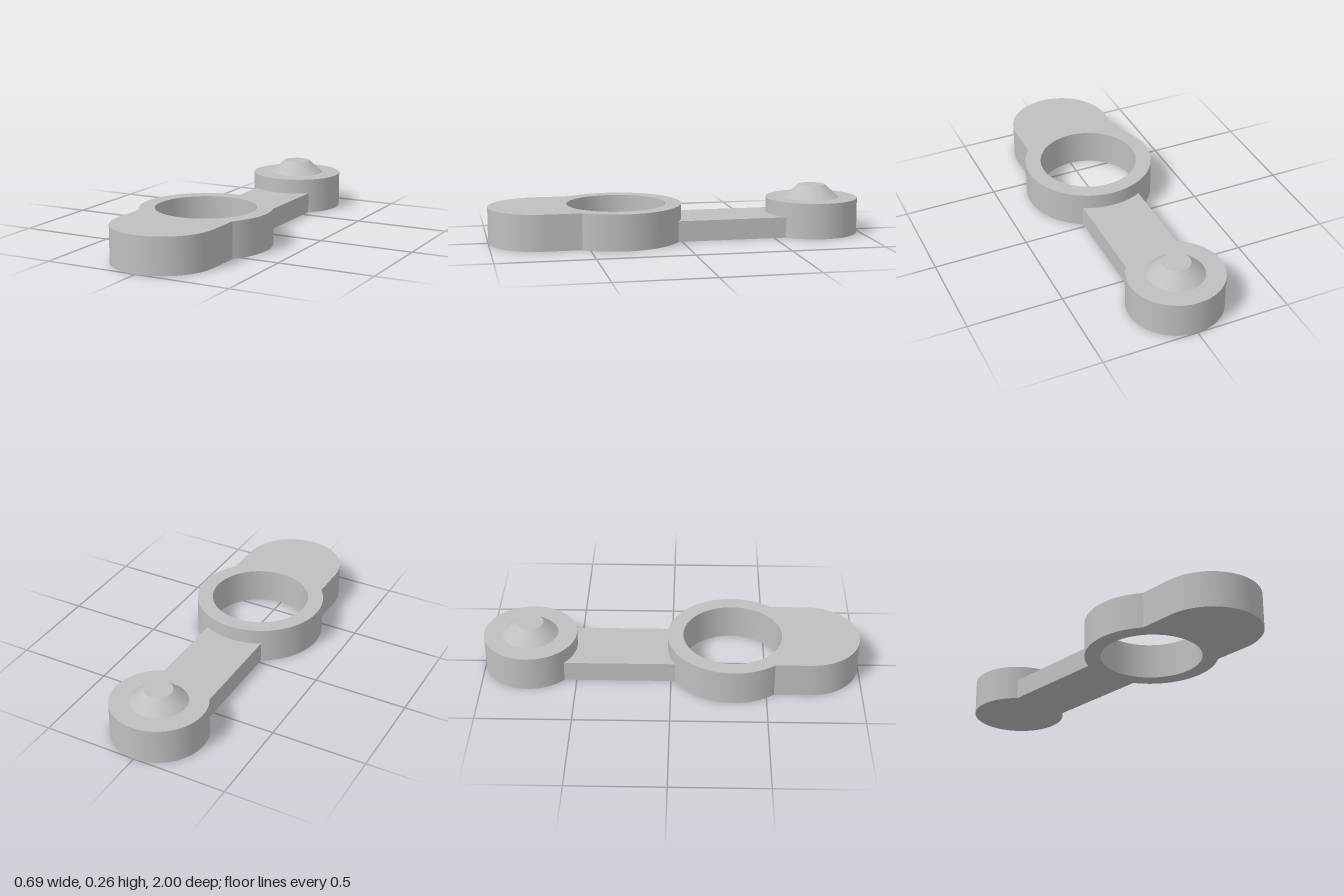
import * as THREE from 'three';
import { toCreasedNormals } from 'three/addons/utils/BufferGeometryUtils.js';

const HEIGHT = 0.19, ARM_HEIGHT = 0.11;
const RING = { z: 0.325, r: 0.345, hole: 0.262 };
const TAB = { z: 0.73, r: 0.27 };
const DISC = { z: -0.752, r: 0.248 };
const ARM_HALF = 0.163;

export function createModel() {
  const group = new THREE.Group();
  const grey = new THREE.MeshStandardMaterial({ color: 0xbfbfbf });
  grey.name = 'grey';

  function add(name, geometry) {
    const mesh = new THREE.Mesh(toCreasedNormals(geometry, 0.4), grey);
    mesh.name = name;
    group.add(mesh);
    return mesh;
  }

  // Plan outlines are drawn with shape y = -z, then laid flat
  function plate(name, shape, depth) {
    const geometry = new THREE.ExtrudeGeometry(shape, { depth, bevelEnabled: false, curveSegments: 64 });
    add(name, geometry.rotateX(-Math.PI / 2));
  }

  // Ring merging into a round-ended tab, with a through hole
  const joint = Math.acos(TAB.r / RING.r);
  const body = new THREE.Shape();
  body.absarc(0, -RING.z, RING.r, -joint, Math.PI + joint, false);
  body.absarc(0, -TAB.z, TAB.r, Math.PI, 2 * Math.PI, false);
  body.closePath();
  const hole = new THREE.Path();
  hole.absarc(0, -RING.z, RING.hole, 0, 2 * Math.PI, true);
  body.holes.push(hole);
  plate('ringAndTab', body, HEIGHT);

  // Thin arm whose ends follow the ring and the disc
  const a = Math.asin(ARM_HALF / RING.r);
  const b = Math.asin(ARM_HALF / DISC.r);
  const arm = new THREE.Shape();
  arm.absarc(0, -RING.z, RING.r, Math.PI / 2 + a, Math.PI / 2 - a, true);
  arm.absarc(0, -DISC.z, DISC.r, -Math.PI / 2 + b, -Math.PI / 2 - b, true);
  arm.closePath();
  plate('arm', arm, ARM_HEIGHT);

  // End disc with a conical stud
  const profile = [
    [0, 0], [DISC.r, 0], [DISC.r, HEIGHT], [0.147, HEIGHT], [0.073, 0.258], [0, 0.258],
  ].map(([x, y]) => new THREE.Vector2(x, y));
  add('discWithStud', new THREE.LatheGeometry(profile, 96)).position.z = DISC.z;

  return group;
}
